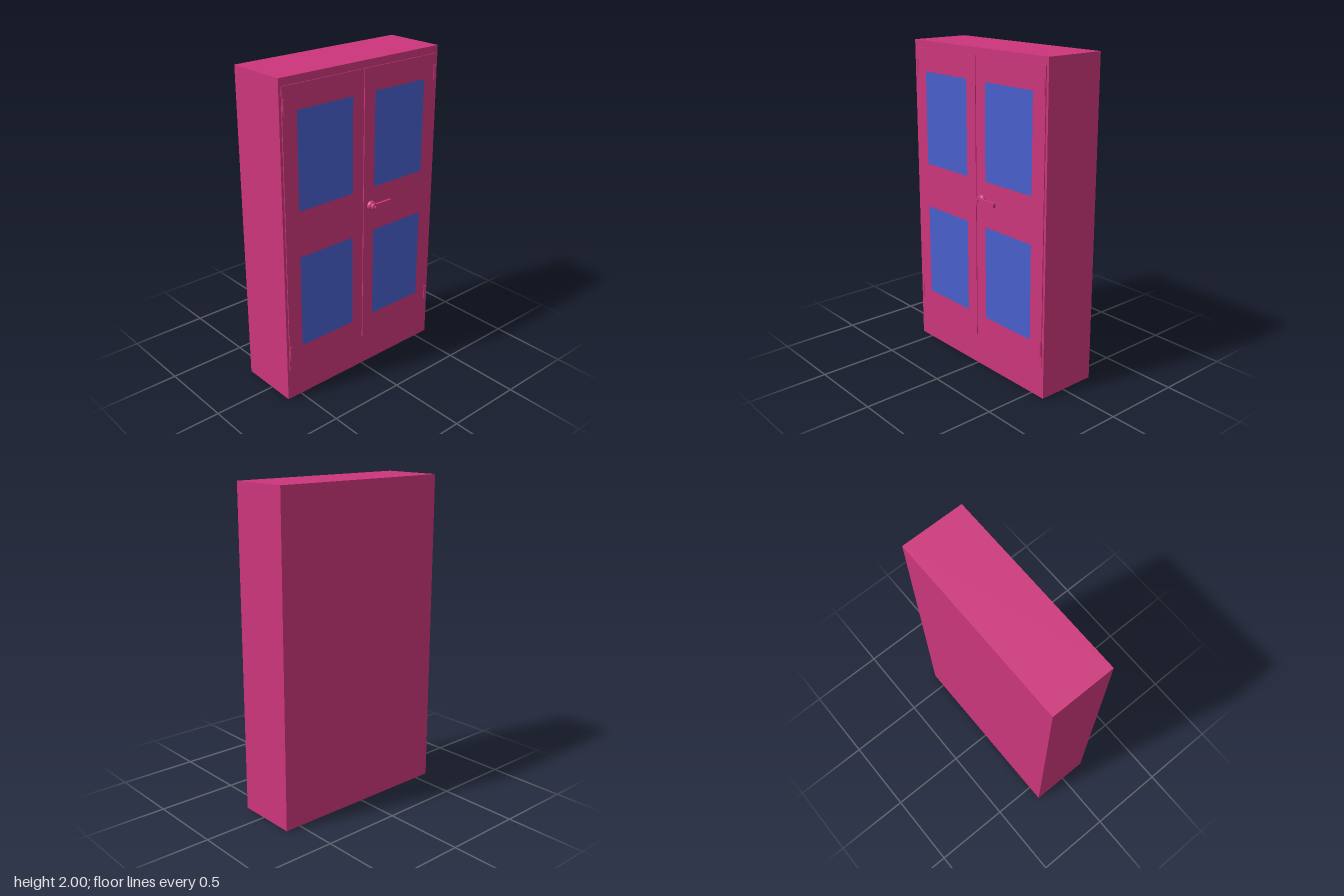
import * as THREE from 'three';

const pink = new THREE.MeshStandardMaterial({ color: 0xcc367b });
const blue = new THREE.MeshStandardMaterial({ color: 0x485fcc });

const BODY_FRONT = 0.168;
const DOOR_FRONT = 0.174;

function add(parent, name, geometry, material, x = 0, y = 0, z = 0) {
  const mesh = new THREE.Mesh(geometry, material);
  mesh.name = name;
  mesh.position.set(x, y, z);
  parent.add(mesh);
  return mesh;
}

// Rectangle outline from corner to corner
function rect(Type, x0, y0, x1, y1) {
  return new Type([[x0, y0], [x1, y0], [x1, y1], [x0, y1]].map(([x, y]) => new THREE.Vector2(x, y)));
}

// Door leaf with two flush panes and two hinges; side is +1 (left) or -1 (right)
function createDoor(side) {
  const door = new THREE.Group();
  door.name = side > 0 ? 'leftDoor' : 'rightDoor';
  const depth = DOOR_FRONT - BODY_FRONT;
  const leaf = rect(THREE.Shape, side * 0.003, 0.2, side * 0.583, 1.955);

  for (const [y0, y1] of [[0.345, 0.937], [1.223, 1.812]]) {
    leaf.holes.push(rect(THREE.Path, side * 0.085, y0, side * 0.485, y1));
    add(door, 'pane', new THREE.BoxGeometry(0.4, y1 - y0, depth), blue,
      side * 0.285, (y0 + y1) / 2, BODY_FRONT + depth / 2);
  }
  add(door, 'doorLeaf', new THREE.ExtrudeGeometry(leaf, { depth, bevelEnabled: false }),
    pink, 0, 0, BODY_FRONT);

  for (const y of [0.32, 1.84]) {
    add(door, 'hinge', new THREE.CylinderGeometry(0.01, 0.01, 0.096, 16), pink, side * 0.572, y, 0.17);
  }
  return door;
}

// Round knob base, flat lever with rounded ends, and a pin
function createHandle() {
  const handle = new THREE.Group();
  handle.name = 'handle';
  handle.position.set(0.06, 1.108, 0);

  const profile = [[0.03, 0], [0.03, 0.012], [0.026, 0.02], [0.018, 0.027], [0, 0.028]]
    .map(([r, h]) => new THREE.Vector2(r, h));
  add(handle, 'knob', new THREE.LatheGeometry(profile, 32), pink, 0, 0, DOOR_FRONT - 0.002)
    .rotation.x = Math.PI / 2;

  const lever = new THREE.Shape();
  lever.absarc(0, 0, 0.021, Math.PI * 0.28, Math.PI * 1.72);
  lever.lineTo(0.135, -0.0155);
  lever.quadraticCurveTo(0.145, -0.0145, 0.145, 0);
  lever.quadraticCurveTo(0.145, 0.0145, 0.135, 0.0155);
  add(handle, 'lever', new THREE.ExtrudeGeometry(lever, { depth: 0.016, bevelEnabled: false, curveSegments: 20 }),
    pink, 0, 0, 0.199);

  add(handle, 'pin', new THREE.CylinderGeometry(0.009, 0.009, 0.027, 20), pink, 0, 0, 0.2115)
    .rotation.x = Math.PI / 2;
  return handle;
}

export function createModel() {
  const cabinet = new THREE.Group();
  cabinet.name = 'cabinet';

  // Solid carcass
  const back = -0.225;
  add(cabinet, 'carcass', new THREE.BoxGeometry(1.197, 2, BODY_FRONT - back), pink, 0, 1, (BODY_FRONT + back) / 2);

  for (const side of [1, -1]) cabinet.add(createDoor(side));
  cabinet.add(createHandle());
  return cabinet;
}
